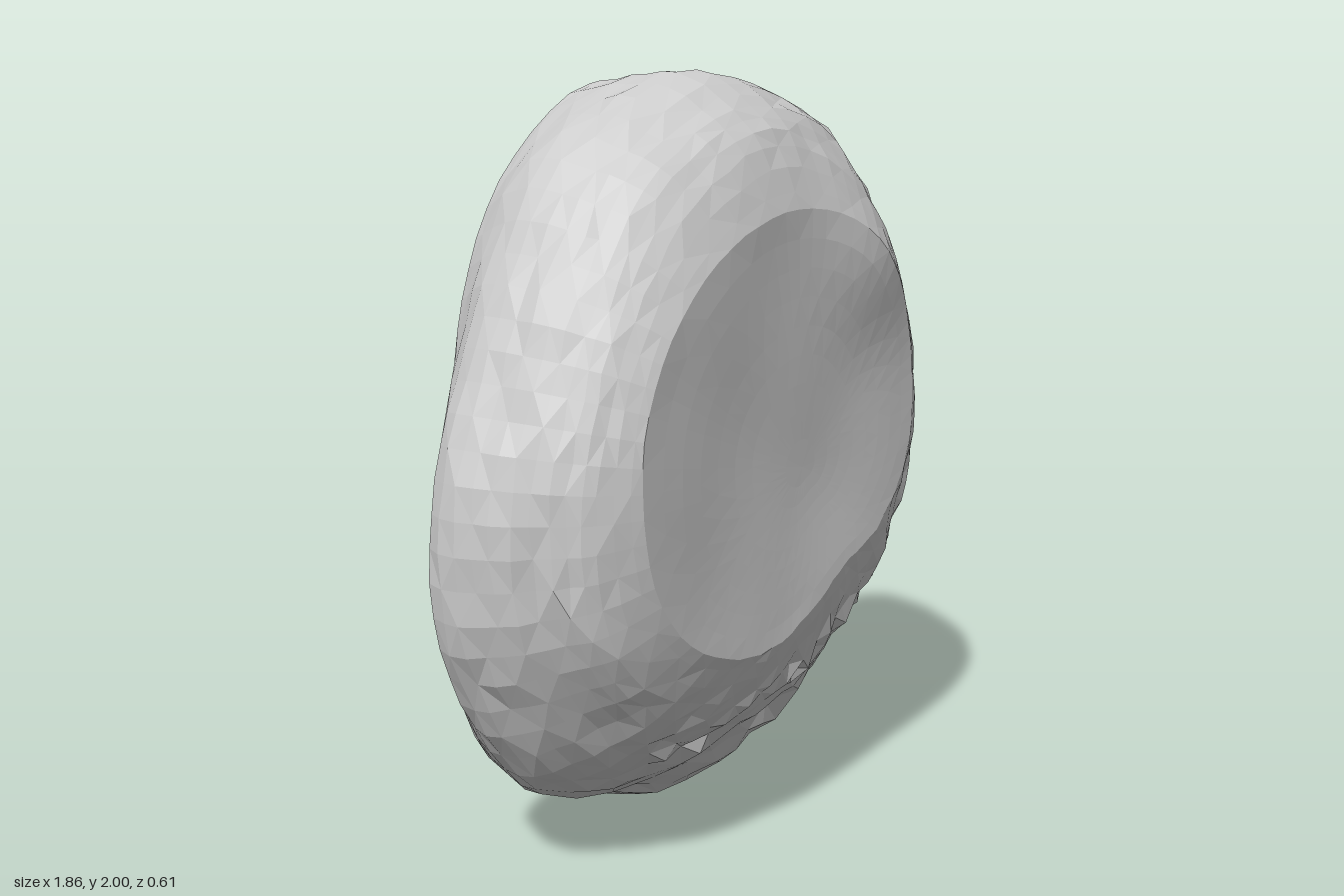
import * as THREE from 'three';

// Outline radii about (0, 1), every 18 degrees from +x, one row per depth
const depths = [-0.3, -0.15, 0, 0.13, 0.215, 0.272];
const outlines = [
  [.915, .935, .945, .94, .955, .955, .95, .89, .8, .73, .7, .78, .88, .96, .93, .985, .92, .86, .865, .88],
  [.87, .89, .92, .93, .965, .975, .985, .96, .885, .88, .925, .96, .975, .99, .925, .93, .88, .825, .82, .85],
  [.77, .8, .85, .88, .945, .975, .98, .945, .89, .88, .92, .935, .94, .93, .85, .83, .82, .77, .75, .77],
  [.71, .73, .77, .8, .88, .915, .915, .89, .84, .83, .855, .86, .84, .8, .72, .68, .67, .65, .66, .69],
  [.61, .63, .66, .71, .77, .82, .82, .8, .78, .77, .78, .79, .75, .67, .6, .55, .53, .53, .55, .58],
  [.5, .53, .57, .6, .64, .66, .67, .68, .69, .69, .67, .65, .6, .53, .46, .39, .35, .35, .4, .45],
];
// Local bulges of the outline: angle in degrees, width, height
const bulges = [[101, 9, 0.02], [262, 7, 0.035], [-6, 5, 0.012], [-20, 4, -0.02]];
const SEGMENTS = 72, SIDE_ROWS = 16, FACE_ROWS = 9, BACK_ROWS = 6;

// Repeatable pseudo-random value in -1..1
function hash(a, b) {
  const s = Math.sin(a * 127.1 + b * 311.7) * 43758.5453;
  return (s - Math.floor(s)) * 2 - 1;
}

// Catmull-Rom interpolation of four values
function cubic(a, b, c, d, t) {
  return b + 0.5 * t * (c - a + t * (2 * a - 5 * b + 4 * c - d + t * (3 * (b - c) + d - a)));
}

function radiusAt(row, turn) {
  const n = row.length, f = turn * n, i = Math.floor(f);
  const at = k => row[(i + k + n) % n];
  return cubic(at(-1), at(0), at(1), at(2), f - i);
}

function bulgeAt(turn) {
  return bulges.reduce((sum, [angle, width, height]) => {
    const away = ((turn * 360 - angle + 540) % 360) - 180;
    return sum + height * Math.exp(-((away / width) ** 2));
  }, 0);
}

// Sample a column of values with clamped ends
function sample(values, v) {
  const last = values.length - 1, i = Math.min(Math.floor(v), last - 1);
  const at = k => values[Math.max(0, Math.min(last, i + k))];
  return cubic(at(-1), at(0), at(1), at(2), v - i);
}

// Gentle unevenness of the flat faces
function ripple(x, y) {
  return Math.sin(x * 11 + y * 4) * Math.sin(y * 9 - x * 3);
}

function stoneGeometry() {
  const positions = [], indices = [];
  const rows = BACK_ROWS + SIDE_ROWS + FACE_ROWS;
  for (let j = 0; j <= rows; j++) {
    for (let i = 0; i < SEGMENTS; i++) {
      const turn = i / SEGMENTS, angle = turn * Math.PI * 2;
      // Bulges fade out towards the front
      const bulge = bulgeAt(turn);
      const column = outlines.map((row, k) => radiusAt(row, turn) + bulge * (1 - k / 5));
      const onRim = j >= BACK_ROWS && j <= BACK_ROWS + SIDE_ROWS;
      const v = (j - BACK_ROWS) / SIDE_ROWS;
      let r, z;
      if (onRim) {
        // Rugged rim, roughest towards the lower right
        const middle = Math.sin(Math.PI * v);
        const rough = 0.005 + 0.012 * Math.max(0, Math.cos(angle + 1.0));
        const lumps = Math.sin(angle * 9 + v * 5) * Math.sin(angle * 5 - v * 8);
        r = sample(column, v * 5) + hash(i, j) * rough * (0.3 + middle) + lumps * middle * 0.007;
        z = sample(depths, v * 5) + hash(i + 50, j) * rough * middle;
      } else if (v < 0) {
        // Flat back
        r = column[0] * j / BACK_ROWS;
        z = depths[0];
      } else {
        // Shallow dish of the front face
        const f = (rows - j) / FACE_ROWS;
        r = column[5] * f;
        z = 0.25 + 0.022 * f * f * (2 - f);
      }
      const x = r * Math.cos(angle), y = 1 + r * Math.sin(angle);
      if (!onRim) z += ripple(x, y) * 0.003;
      // Low swelling on the upper front
      if (z > 0) z += 0.038 * (z / 0.27) * Math.exp(-((x - 0.29) ** 2 + (y - 1.52) ** 2) / 0.04);
      positions.push(x, y, z);
    }
  }
  for (let j = 0; j < rows; j++) {
    for (let i = 0; i < SEGMENTS; i++) {
      const k = (i + 1) % SEGMENTS;
      const a = j * SEGMENTS + i, b = j * SEGMENTS + k;
      const c = a + SEGMENTS, d = b + SEGMENTS;
      // The rings collapse at both centres, where one triangle is enough
      if (j === 0) indices.push(a, d, c);
      else if (j === rows - 1) indices.push(a, b, c);
      else if ((i + j) % 2) indices.push(a, b, c, b, d, c);
      else indices.push(a, b, d, a, d, c);
    }
  }
  const geometry = new THREE.BufferGeometry();
  geometry.setAttribute('position', new THREE.Float32BufferAttribute(positions, 3));
  geometry.setIndex(indices);
  // Stand on the ground, centred
  geometry.computeBoundingBox();
  const box = geometry.boundingBox, centre = box.getCenter(new THREE.Vector3());
  geometry.translate(-centre.x, -box.min.y, -centre.z);
  geometry.computeVertexNormals();
  return geometry;
}

export function createModel() {
  const group = new THREE.Group();
  group.name = 'rock';
  const material = new THREE.MeshStandardMaterial({ color: 0xcccccc, flatShading: true });
  const stone = new THREE.Mesh(stoneGeometry(), material);
  stone.name = 'stone';
  group.add(stone);
  return group;
}
